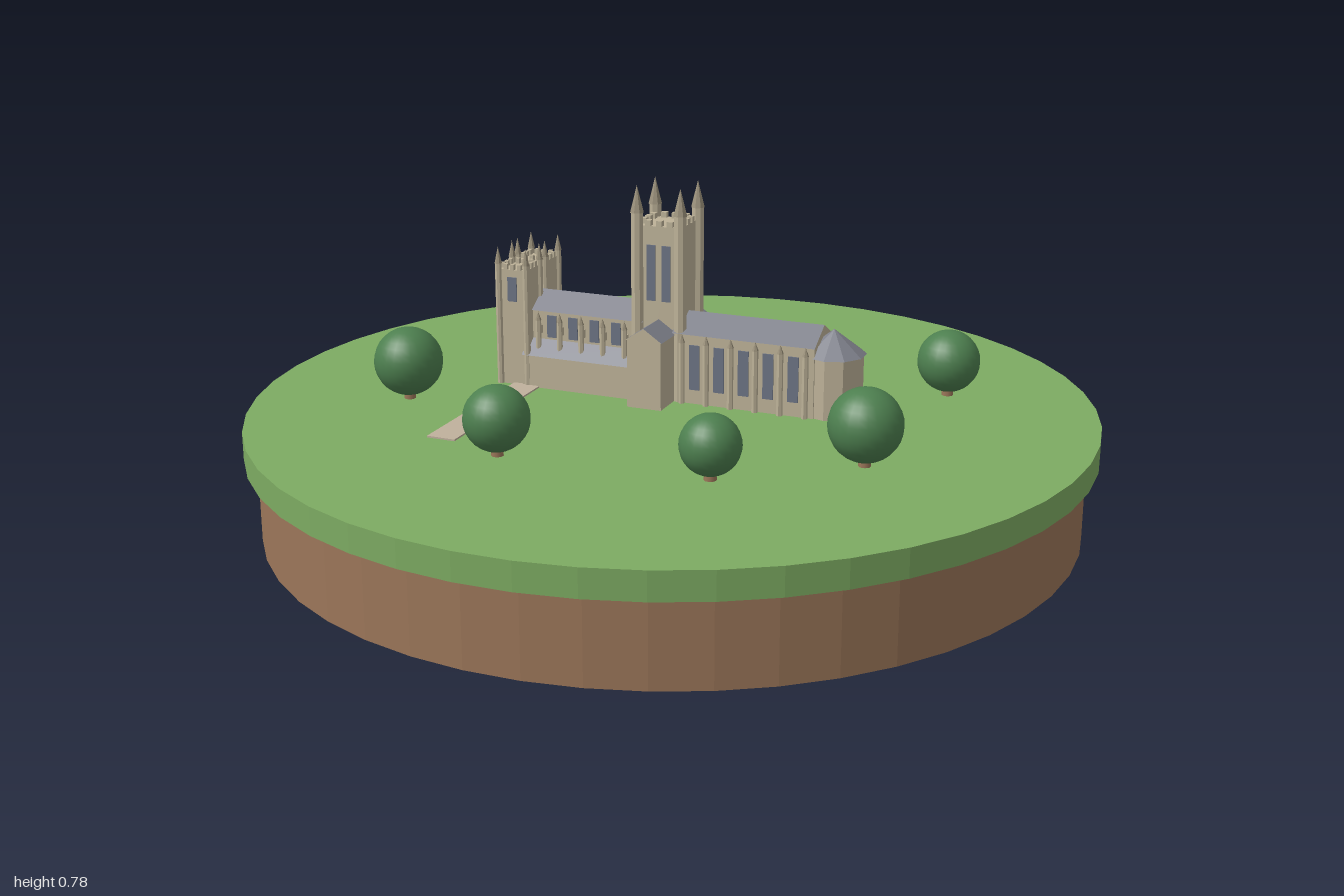
import * as THREE from 'three';

const mat = (name, color) => {
  const m = new THREE.MeshStandardMaterial({ color });
  m.name = name;
  return m;
};

// Faceted copy of a geometry
function facet(geo) {
  const g = geo.toNonIndexed();
  g.computeVertexNormals();
  return g;
}

export function createModel() {
  const grass = mat('grass', 0x7dab62), earth = mat('earth', 0x9b7659);
  const stone = mat('stone', 0xbdb298), roof = mat('slate', 0x7e808a);
  const glass = mat('glass', 0x6c7383), leaf = mat('foliage', 0x4d7f4f);
  const door = mat('door', 0x3c3a40), gravel = mat('path', 0xbfb19c);
  const trim = mat('pinnacle stone', 0x9a907a);

  const model = new THREE.Group();
  model.name = 'churchIsland';
  const GROUND = 0.265;

  function add(parent, name, geo, material, x = 0, y = 0, z = 0) {
    const mesh = new THREE.Mesh(geo, material);
    mesh.name = name;
    mesh.position.set(x, y, z);
    parent.add(mesh);
    return mesh;
  }

  // Round base
  add(model, 'earthBase', facet(new THREE.CylinderGeometry(0.97, 0.97, 0.2, 48)), earth, 0, 0.1, 0);
  add(model, 'grassDisc', facet(new THREE.CylinderGeometry(1, 1, 0.065, 48)), grass, 0, 0.2325, 0);

  // Trees: x, z, radius
  for (const [x, z, r] of [
    [-0.63, -0.01, 0.082], [-0.405, -0.52, 0.075], [-0.365, 0.385, 0.075],
    [0.105, 0.515, 0.068], [0.435, 0.415, 0.083], [0.66, -0.095, 0.075],
  ]) {
    add(model, 'treeCrown', new THREE.SphereGeometry(r, 24, 16), leaf, x, GROUND + r + 0.011, z);
    add(model, 'treeTrunk', new THREE.CylinderGeometry(0.012, 0.014, 0.05, 8), earth, x, GROUND + 0.025, z);
  }

  // Church: its length runs along local x, with the chancel at +x
  const church = new THREE.Group();
  church.name = 'church';
  church.position.set(-0.015, GROUND, -0.09);
  church.rotation.y = -0.345;
  model.add(church);

  // Box from ranges, standing on y0
  const block = (name, x0, x1, y0, y1, z0, z1, m = stone) =>
    add(church, name, new THREE.BoxGeometry(x1 - x0, y1 - y0, z1 - z0), m,
      (x0 + x1) / 2, (y0 + y1) / 2, (z0 + z1) / 2);

  // Prism along x with a symmetric section; end caps are stone
  function prism(name, x0, x1, half, eave, topHalf, ridge) {
    const s = new THREE.Shape();
    s.moveTo(-half, eave);
    s.lineTo(half, eave);
    s.lineTo(topHalf, ridge);
    if (topHalf > 0) s.lineTo(-topHalf, ridge);
    const geo = new THREE.ExtrudeGeometry(s, { depth: x1 - x0, bevelEnabled: false });
    geo.rotateY(Math.PI / 2);
    return add(church, name, geo, [stone, roof], x0, 0, 0);
  }

  // Turret shaft with a pointed cap
  function pinnacle(name, x, z, r, y0, y1, tip, sides = 8) {
    add(church, name + 'Shaft', facet(new THREE.CylinderGeometry(r, r, y1 - y0, sides)), stone, x, (y0 + y1) / 2, z);
    add(church, name + 'Cap', facet(new THREE.ConeGeometry(r * 1.1, tip - y1, sides)), trim, x, (y1 + tip) / 2, z);
  }

  // Square tower with corner turrets and battlements
  function tower(name, x, z, half, top, r, shaftTop, tip) {
    block(name, x - half, x + half, 0, top, z - half, z + half);
    for (const sx of [-1, 1]) for (const sz of [-1, 1])
      pinnacle(name + 'Turret', x + sx * half, z + sz * half, r, 0, shaftTop, tip);
    const w = half * 0.13;
    for (const i of [-0.5, 0, 0.5]) for (const s of [-1, 1]) {
      const a = i * half, b = s * (half - w);
      block(name + 'Merlon', x + a - w, x + a + w, top, top + 0.013, z + b - w, z + b + w);
      block(name + 'Merlon', x + b - w, x + b + w, top, top + 0.013, z + a - w, z + a + w);
    }
  }

  // Thin window plate on a wall facing +z
  const windowPane = (x, y0, y1, z, w) =>
    block('window', x - w / 2, x + w / 2, y0, y1, z - 0.002, z + 0.003, glass);

  // Central tower with paired lancets
  tower('centralTower', 0, 0, 0.055, 0.42, 0.0155, 0.45, 0.515);
  for (const x of [-0.019, 0.019]) windowPane(x, 0.24, 0.375, 0.055, 0.022);

  // West towers, front wall and door
  for (const s of [-1, 1])
    tower('westTower', -0.37, s * 0.052, 0.037, 0.288, 0.0085, 0.302, 0.343);
  windowPane(-0.37, 0.21, 0.27, 0.089, 0.024);
  block('westFront', -0.409, -0.33, 0, 0.2, -0.022, 0.022);
  block('westDoor', -0.414, -0.408, 0, 0.06, -0.016, 0.016, door);

  // Nave, aisles and clerestory
  block('aisleWalls', -0.345, -0.04, 0, 0.08, -0.094, 0.094);
  prism('aisleRoof', -0.345, -0.04, 0.097, 0.08, 0.055, 0.115);
  block('naveWalls', -0.345, -0.04, 0.08, 0.187, -0.056, 0.056);
  prism('naveRoof', -0.347, -0.04, 0.061, 0.185, 0, 0.225);
  for (let i = 0; i < 5; i++) {
    const x = -0.31 + i * 0.057;
    pinnacle('naveButtress', x, 0.073, 0.007, 0.08, 0.165, 0.187, 6);
    block('naveButtressLink', x - 0.004, x + 0.004, 0.13, 0.15, 0.05, 0.073);
    if (i < 4) windowPane(x + 0.0285, 0.12, 0.175, 0.056, 0.024);
  }

  // Transept
  block('transeptWalls', -0.043, 0.043, 0, 0.167, -0.146, 0.146);
  prism('transeptRoof', -0.148, 0.148, 0.046, 0.165, 0, 0.196).rotation.y = Math.PI / 2;
  church.children[church.children.length - 1].position.set(0, 0, 0.148);

  // Choir with buttresses and tall windows on the south side
  block('choirWalls', 0.04, 0.392, 0, 0.172, -0.066, 0.066);
  prism('choirRoof', 0.04, 0.394, 0.071, 0.17, 0, 0.21);
  for (let i = 0; i < 6; i++) {
    const x = 0.065 + i * 0.0615;
    pinnacle('choirButtress', x, 0.071, 0.0075, 0, 0.15, 0.172, 6);
    if (i < 5) windowPane(x + 0.031, 0.035, 0.145, 0.066, 0.026);
  }

  // Apse
  add(church, 'apseWall', facet(new THREE.CylinderGeometry(0.07, 0.07, 0.147, 10)), stone, 0.418, 0.0735, 0);
  add(church, 'apseRoof', facet(new THREE.ConeGeometry(0.077, 0.058, 10)), roof, 0.418, 0.174, 0);

  // Path
  block('path', -0.371, -0.301, 0, 0.004, 0.08, 0.52, gravel);

  return model;
}
